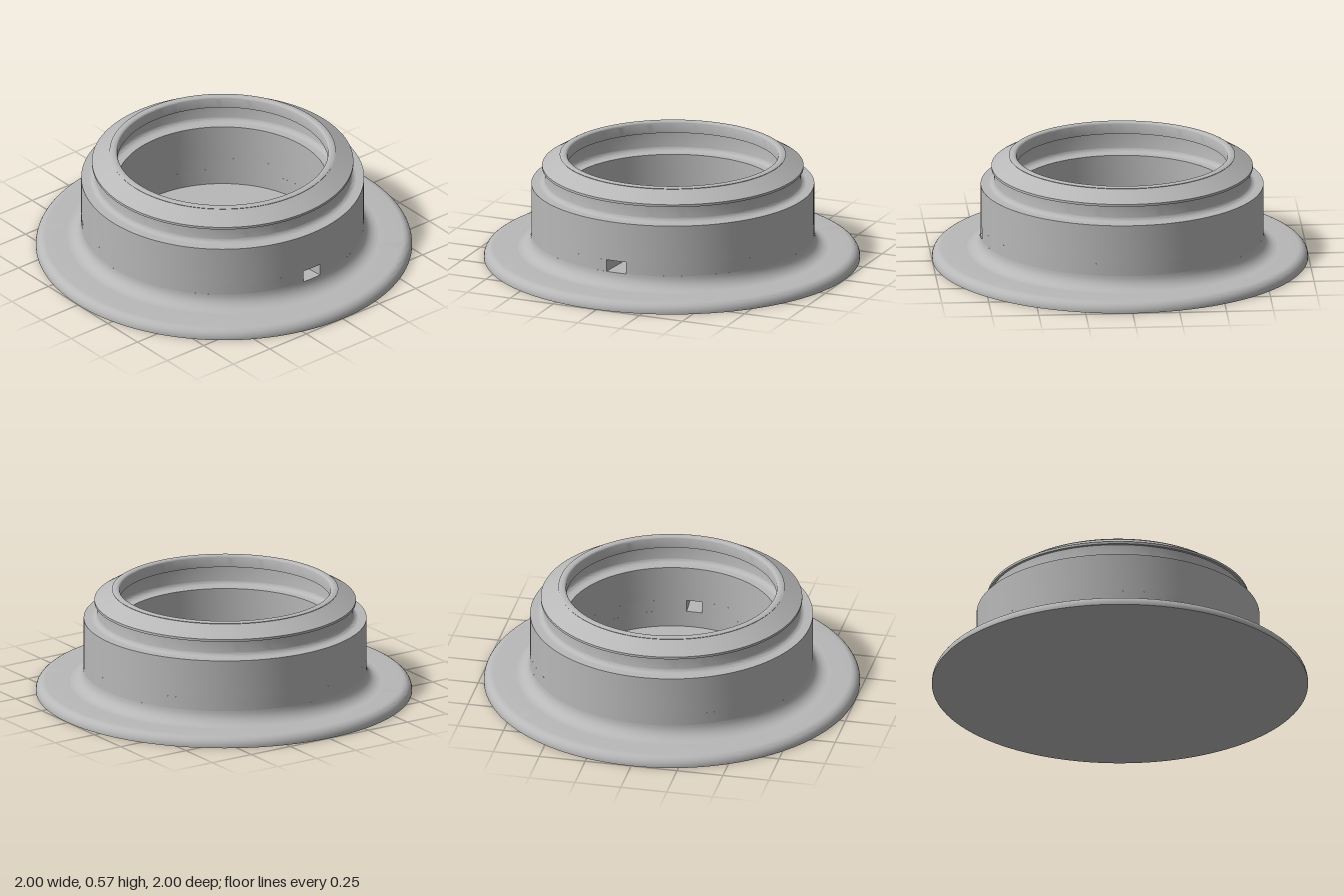
import * as THREE from 'three';
import { toCreasedNormals } from 'three/addons/utils/BufferGeometryUtils.js';

const grey = new THREE.MeshStandardMaterial({ color: 0xb8b8b8 });
grey.name = 'plain grey';

const SEGMENTS = 128;
const OFFSET_X = -0.011;          // collar sits slightly off the flange centre
const INNER = 0.56, OUTER = 0.752; // wall radii
const PORT_LOW = 0.13, PORT_HIGH = 0.195, PORT_ANGLE = 0.075;

// Rounded corner of a profile: arc about (cx, cy) from angle a to b in degrees
function arc(cx, cy, r, a, b, n = 8) {
  return Array.from({ length: n + 1 }, (_, i) => {
    const t = THREE.MathUtils.degToRad(a + (b - a) * i / n);
    return [cx + r * Math.cos(t), cy + r * Math.sin(t)];
  });
}

function turned(name, profile, start = 0, length = Math.PI * 2, segments = SEGMENTS) {
  const points = profile.map(([x, y]) => new THREE.Vector2(Math.max(x, 0), y));
  const geometry = new THREE.LatheGeometry(points, segments, start, length);
  const mesh = new THREE.Mesh(toCreasedNormals(geometry, 0.4), grey);
  mesh.name = name;
  return mesh;
}

export function createModel() {
  const group = new THREE.Group();
  group.name = 'flangedCollar';

  // Solid base disc with a rounded rim
  group.add(turned('flange', [
    [0, 0], [1, 0], [1, 0.006],
    ...arc(0.95, 0.006, 0.05, 0, 90),
    [0.8, 0.056], [0.7, 0.056],
  ]));

  const collar = new THREE.Group();
  collar.name = 'collar';
  collar.position.x = OFFSET_X;
  group.add(collar);

  // Fillet from the flange into the wall, up to the port sill
  collar.add(turned('wallFoot', [
    ...arc(OUTER + 0.074, 0.13, 0.074, 270, 180),
  ]));

  // Inside of the wall below the port, and the floor
  collar.add(turned('floor', [[INNER, PORT_LOW], [INNER, 0.04], [0, 0.04]]));

  // Wall band interrupted by the side port
  const start = Math.PI / 2 + PORT_ANGLE, length = Math.PI * 2 - 2 * PORT_ANGLE;
  collar.add(turned('outerWallBand', [[OUTER, PORT_LOW], [OUTER, PORT_HIGH]], start, length));
  collar.add(turned('innerWallBand', [[INNER, PORT_HIGH], [INNER, PORT_LOW]], start, length));

  // Port sill, lintel and two cheeks
  const portStart = Math.PI / 2 - PORT_ANGLE;
  collar.add(turned('portSill', [[OUTER, PORT_LOW], [INNER, PORT_LOW]], portStart, 2 * PORT_ANGLE, 6));
  collar.add(turned('portLintel', [[INNER, PORT_HIGH], [OUTER, PORT_HIGH]], portStart, 2 * PORT_ANGLE, 6));
  for (const side of [-1, 1]) {
    const cheek = new THREE.Mesh(
      new THREE.PlaneGeometry(OUTER - INNER, PORT_HIGH - PORT_LOW), grey);
    const pivot = new THREE.Group();
    pivot.name = side > 0 ? 'portCheekFront' : 'portCheekBack';
    cheek.position.set((INNER + OUTER) / 2, (PORT_LOW + PORT_HIGH) / 2, 0);
    if (side > 0) cheek.rotation.y = Math.PI;
    pivot.rotation.y = -side * PORT_ANGLE;
    pivot.add(cheek);
    collar.add(pivot);
  }

  // Upper wall, neck, bevelled lip and the groove inside it
  collar.add(turned('neckAndLip', [
    [OUTER, PORT_HIGH], [OUTER, 0.41], [0.71, 0.41],
    ...arc(0.71, 0.44, 0.03, 270, 180),
    [0.68, 0.498], [0.695, 0.498], [0.695, 0.511],
    [0.6, 0.567],
    ...arc(0.583, 0.538, 0.037, 60, 90, 4),
    ...arc(0.575, 0.56, 0.015, 90, 180, 6),
    [INNER, 0.51], [0.625, 0.51],
    ...arc(0.595, 0.42, 0.03, 0, -90),
    [INNER, 0.39], [INNER, PORT_HIGH],
  ]));

  return group;
}
